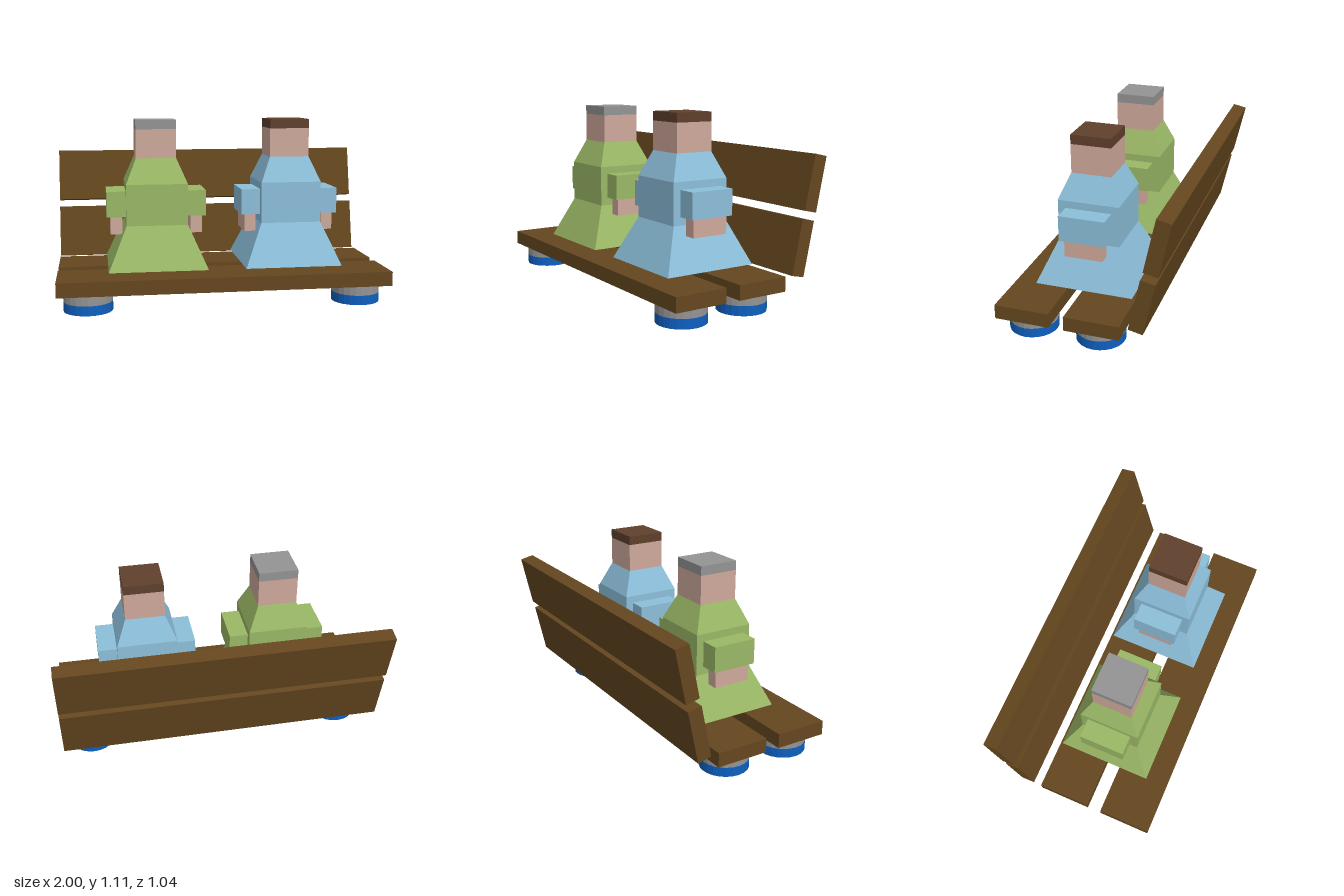
import * as THREE from 'three';

const paint = (name, color) => {
  const m = new THREE.MeshStandardMaterial({ color });
  m.name = name;
  return m;
};

// Faceted copy of a geometry
function faceted(geometry) {
  const g = geometry.toNonIndexed();
  g.computeVertexNormals();
  return g;
}

function addMesh(parent, name, geometry, material, x, y, z) {
  const mesh = new THREE.Mesh(geometry, material);
  mesh.name = name;
  mesh.position.set(x, y, z);
  parent.add(mesh);
  return mesh;
}

const addBox = (parent, name, [w, h, d], material, x, y, z) =>
  addMesh(parent, name, new THREE.BoxGeometry(w, h, d), material, x, y, z);

export function createModel() {
  const wood = paint('brown wood', 0x65471f);
  const wheelBlue = paint('wheel blue', 0x0e60c0);
  const hubGrey = paint('grey', 0x949494);
  const skin = paint('skin', 0xcfa99b);
  const hairBrown = paint('brown hair', 0x5f402d);
  const green = paint('green cloth', 0x9ab866);
  const blue = paint('blue cloth', 0x8cbfda);

  const model = new THREE.Group();
  model.name = 'benchWithTwoPeople';

  // Seat planks
  for (const [name, z] of [['frontSeatPlank', 0.354], ['rearSeatPlank', -0.066]]) {
    addBox(model, name, [2, 0.087, 0.328], wood, 0, 0.16, z);
  }

  // Leaning backrest planks
  for (const [name, y, z] of [['lowerBackPlank', 0.35, -0.358], ['upperBackPlank', 0.716, -0.441]]) {
    addBox(model, name, [2, 0.327, 0.087], wood, 0, y, z).rotation.x = -0.213;
  }

  // Round feet: blue base with a grey collar
  const disc = faceted(new THREE.CylinderGeometry(0.146, 0.146, 0.058, 24));
  for (const x of [-0.819, 0.819]) {
    for (const z of [0.357, -0.061]) {
      const foot = new THREE.Group();
      foot.name = 'foot';
      foot.position.set(x, 0, z);
      addMesh(foot, 'footBase', disc, wheelBlue, 0, 0.029, 0);
      addMesh(foot, 'footCollar', disc, hubGrey, 0, 0.087, 0);
      model.add(foot);
    }
  }

  // Square robe profile: half width and height
  const profile = [[0, 0.22], [0.298, 0.22], [0.186, 0.479], [0.186, 0.729], [0.122, 0.882], [0, 0.882]]
    .map(([half, y]) => new THREE.Vector2(half * Math.SQRT2, y));
  const robe = faceted(new THREE.LatheGeometry(profile, 4, Math.PI / 4));

  // Seated people
  function addPerson(name, x, cloth, hair) {
    const person = new THREE.Group();
    person.name = name;
    person.position.set(x, 0, 0.082);
    addMesh(person, 'robe', robe, cloth, 0, 0, 0);
    addBox(person, 'head', [0.244, 0.174, 0.244], skin, 0, 0.969, 0);
    addBox(person, 'hair', [0.244, 0.056, 0.244], hair, 0, 1.084, 0);
    for (const side of [-1, 1]) {
      addBox(person, 'sleeve', [0.122, 0.156, 0.279], cloth, side * 0.241, 0.606, 0);
      addBox(person, 'hand', [0.071, 0.108, 0.232], skin, side * 0.244, 0.474, 0);
    }
    model.add(person);
  }
  addPerson('greenPerson', -0.398, green, hubGrey);
  addPerson('bluePerson', 0.427, blue, hairBrown);

  return model;
}
